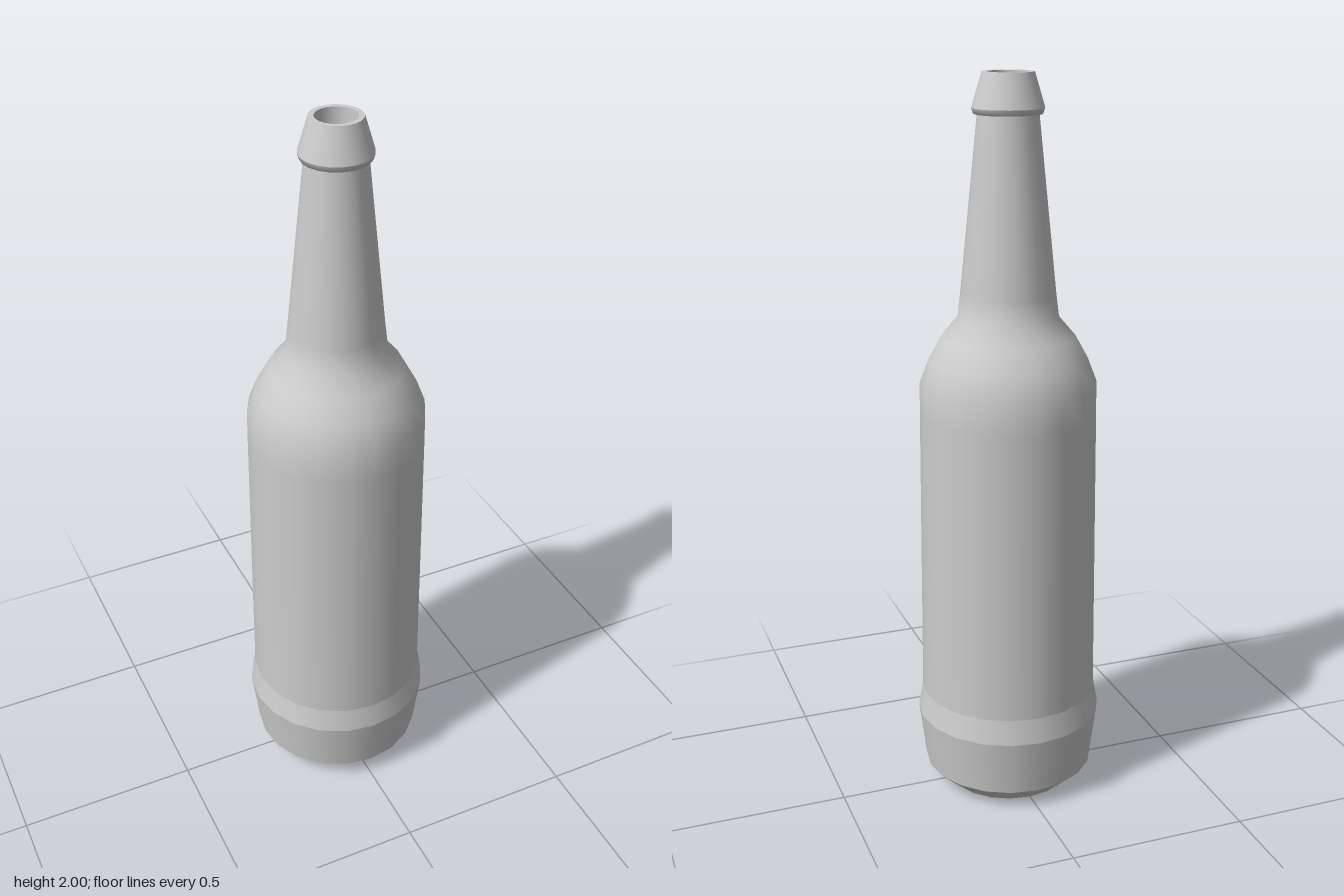
import * as THREE from 'three';

const SIDES = 20;

// Each section is turned separately so the edges between sections stay sharp.
// Profiles are [radius, height] and run from the base up the outside and down the bore.
const SECTIONS = {
  baseDisc: [[0, 0], [0.18, 0]],
  baseBevel: [[0.18, 0], [0.24, 0.055]],
  heel: [[0.24, 0.055], [0.26, 0.215]],
  heelBand: [[0.26, 0.215], [0.247, 0.285]],
  bodyAndNeck: [
    [0.247, 0.285], [0.241, 1.1], [0.24, 1.185], [0.215, 1.25],
    [0.18, 1.313], [0.136, 1.365], [0.128, 1.43], [0.08, 1.9],
  ],
  lipUnderside: [[0.08, 1.895], [0.09, 1.895], [0.095, 1.91]],
  lip: [[0.095, 1.91], [0.068, 2]],
  rim: [[0.068, 2], [0.054, 2]],
  bore: [[0.054, 2], [0.054, 1.85], [0.047, 1.82], [0.027, 1.8], [0, 1.795]],
};

export function createModel() {
  const bottle = new THREE.Group();
  bottle.name = 'bottle';
  const glass = new THREE.MeshStandardMaterial({ color: 0xcccccc });

  for (const [name, profile] of Object.entries(SECTIONS)) {
    const points = profile.map(([r, y]) => new THREE.Vector2(r, y));
    const mesh = new THREE.Mesh(new THREE.LatheGeometry(points, SIDES), glass);
    mesh.name = name;
    bottle.add(mesh);
  }
  return bottle;
}
